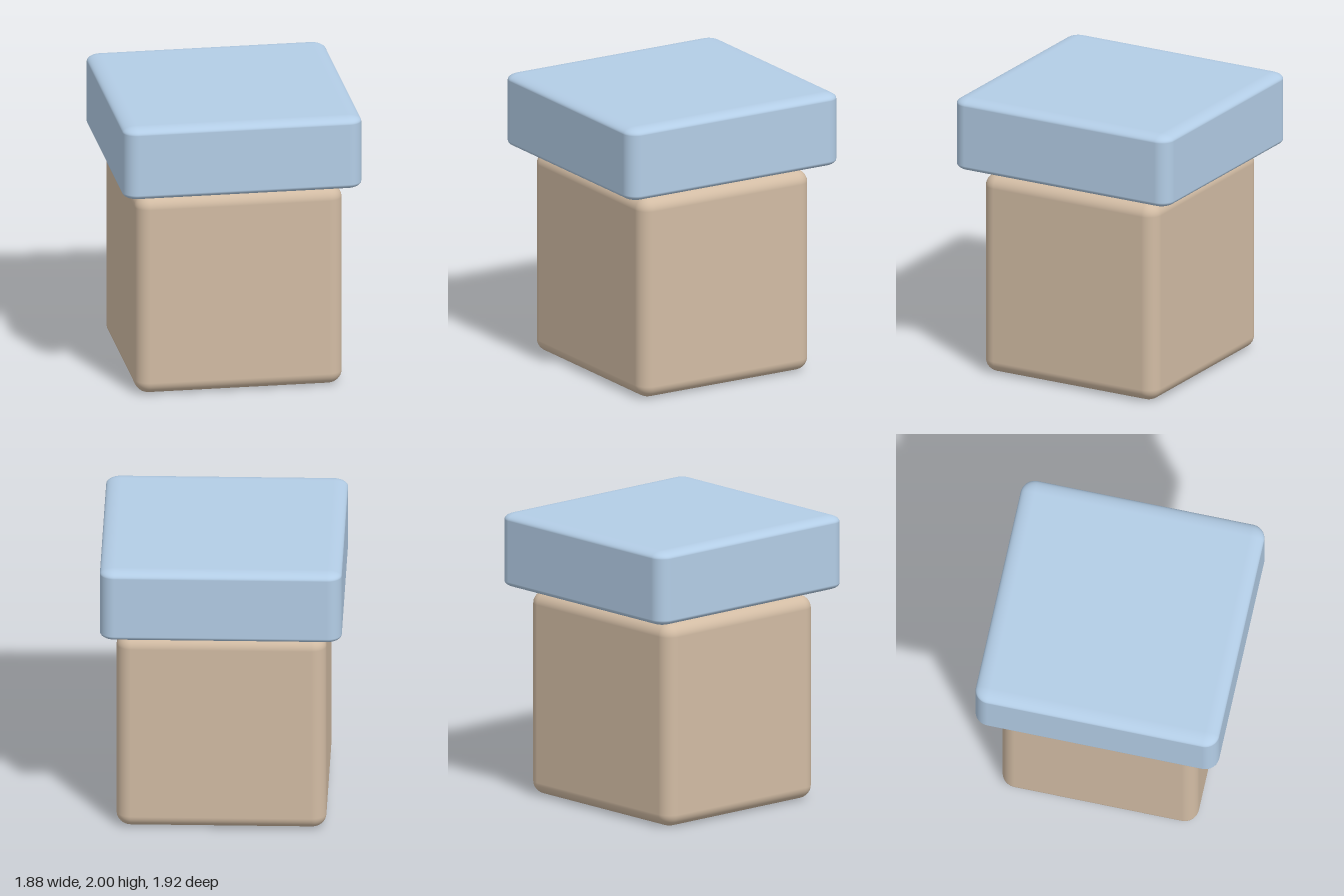
import * as THREE from 'three';
import { RoundedBoxGeometry } from 'three/addons/geometries/RoundedBoxGeometry.js';

// Soft-edged block: horizontal corner radius r, vertical edge radius ry
function softBlock(name, color, [w, h, d], r, ry, bottom) {
  const stretch = ry / r;
  const geometry = new RoundedBoxGeometry(w, h / stretch, d, 8, r);
  geometry.scale(1, stretch, 1);
  const mesh = new THREE.Mesh(geometry, new THREE.MeshStandardMaterial({ color }));
  mesh.name = name;
  mesh.position.y = bottom + h / 2;
  return mesh;
}

export function createModel() {
  const group = new THREE.Group();
  group.name = 'liddedBox';

  // Tall box with a wider flat lid floating just above it
  group.add(
    softBlock('body', 0xd2bca4, [1.445, 1.44, 1.38], 0.1, 0.09, 0.003),
    softBlock('lid', 0xb3cde6, [1.666, 0.524, 1.714], 0.1, 0.045, 1.476),
  );

  // Both blocks share a slight turn about the vertical axis
  for (const block of group.children) block.rotation.y = 0.152;
  return group;
}
